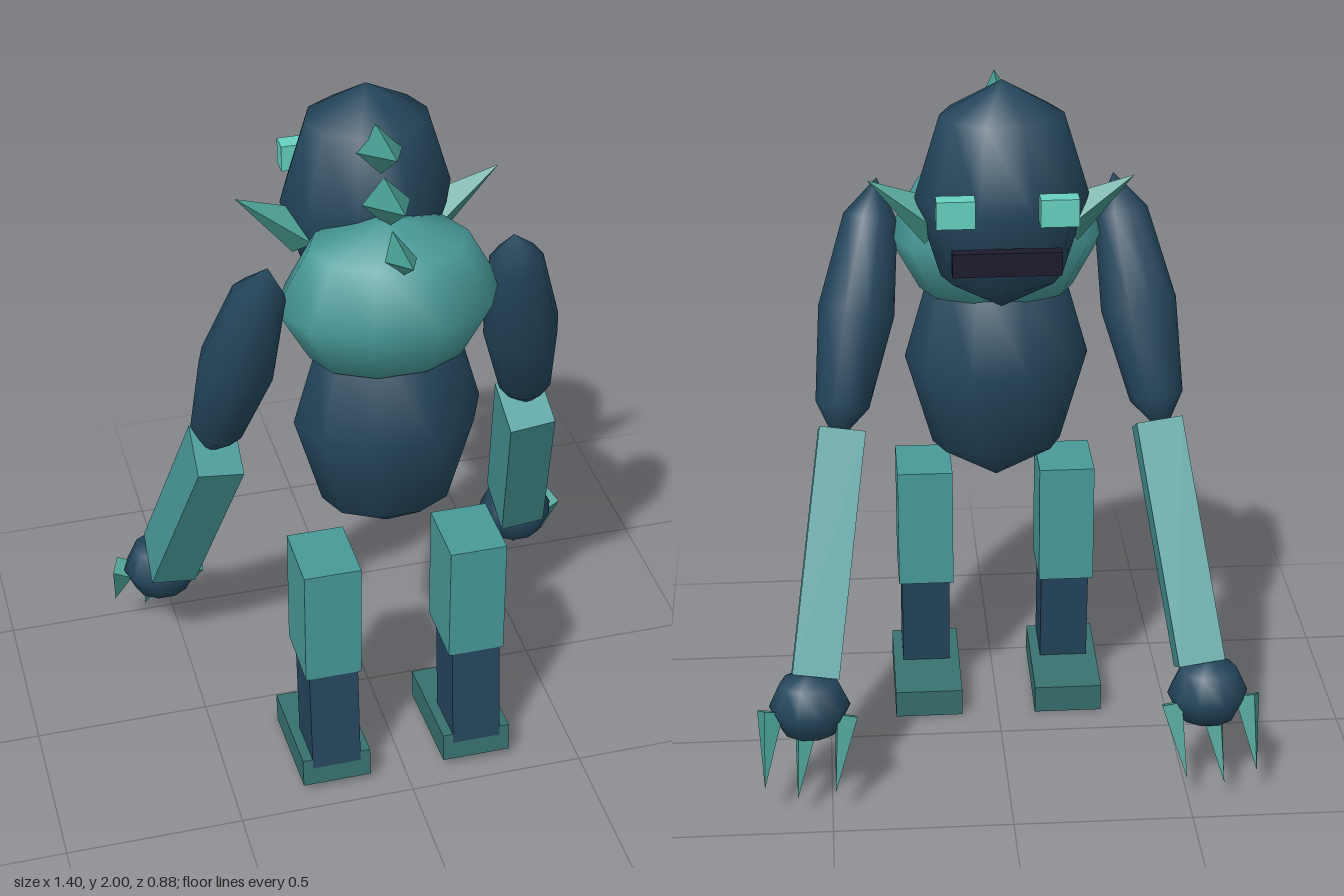
import * as THREE from 'three';

export function createModel() {
  const root = new THREE.Group();
  const mat = (name, color) => {
    const m = new THREE.MeshStandardMaterial({ color });
    m.name = name;
    return m;
  };
  const navy = mat('navy skin', 0x24465c);
  const teal = mat('teal hide', 0x489a99);
  const darkTeal = mat('dark teal foot', 0x37726f);
  const green = mat('green spike', 0x469a8e);
  const cyan = mat('cyan eye', 0x66d0c0);
  const black = mat('dark mouth', 0x1c1a2c);
  const V = (x, y, z) => new THREE.Vector3(x, y, z);
  const UP = V(0, 1, 0);

  const add = (name, geo, material, x, y, z) => {
    const m = new THREE.Mesh(geo, material);
    m.name = name;
    m.position.set(x, y, z);
    root.add(m);
    return m;
  };
  const box = (name, material, w, h, d, x, y, z) =>
    add(name, new THREE.BoxGeometry(w, h, d), material, x, y, z);
  // Coarse, smooth-shaded ellipsoid
  const blob = (name, material, rx, ry, rz, x, y, z) =>
    add(name, new THREE.SphereGeometry(1, 10, 4).scale(rx, ry, rz), material, x, y, z);
  // Four-sided faceted spike from base centre to tip
  const spike = (name, r, base, tip) => {
    const dir = tip.clone().sub(base);
    const geo = new THREE.ConeGeometry(r, dir.length(), 4).toNonIndexed();
    geo.computeVertexNormals();
    const mid = base.clone().add(tip).multiplyScalar(0.5);
    const m = add(name, geo, green, mid.x, mid.y, mid.z);
    m.quaternion.setFromUnitVectors(UP, dir.normalize());
    return m;
  };

  // Body and head
  blob('belly', navy, 0.26, 0.378, 0.195, 0, 1.128, 0.2);
  blob('chest', teal, 0.305, 0.23, 0.215, 0, 1.495, 0.205);
  blob('head', navy, 0.235, 0.32, 0.195, 0, 1.68, -0.025);
  box('mouth', black, 0.29, 0.065, 0.036, 0, 1.558, -0.219);

  // Row of spikes down the back
  for (let i = 0; i < 3; i++) {
    const y = 1.87 - i * 0.112, z = 0.1 + i * 0.079;
    spike('backSpike', 0.065, V(0, y, z), V(0, y + 0.065, z + 0.187));
  }

  for (const s of [1, -1]) {
    const side = s > 0 ? 'left' : 'right';
    box(side + 'Eye', cyan, 0.102, 0.075, 0.052, s * 0.136, 1.704, -0.229);
    spike(side + 'ShoulderSpike', 0.07, V(s * 0.17, 1.595, 0), V(s * 0.36, 1.72, 0));

    // Arm
    const upper = blob(side + 'UpperArm', navy, 0.107, 0.375, 0.1, s * 0.395, 1.295, 0.13);
    upper.quaternion.setFromUnitVectors(UP, V(-s * 0.13, 0.7, 0.22).normalize());
    const fore = box(side + 'Forearm', teal, 0.13, 0.69, 0.16, s * 0.492, 0.667, -0.112);
    fore.quaternion.setFromUnitVectors(UP, V(-s * 0.095, 0.61, 0.33).normalize());
    blob(side + 'Hand', navy, 0.113, 0.105, 0.1, s * 0.556, 0.305, -0.325);

    // Claws: outer, middle, inner
    for (const [bx, tx, ty] of [[0.665, 0.685, 0.11], [0.565, 0.595, 0.075], [0.455, 0.49, 0.09]]) {
      spike(side + 'Claw', 0.04, V(s * bx, ty + 0.19, -0.345), V(s * tx, ty, -0.44));
    }

    // Leg
    box(side + 'Thigh', teal, 0.16, 0.357, 0.203, s * 0.207, 0.574, 0.305);
    const shin = box(side + 'Shin', navy, 0.14, 0.34, 0.162, s * 0.207, 0.25, 0.337);
    const foot = box(side + 'Foot', darkTeal, 0.197, 0.086, 0.332, s * 0.207, 0.06, 0.268);
    shin.rotation.x = foot.rotation.x = -0.09;
  }
  return root;
}
